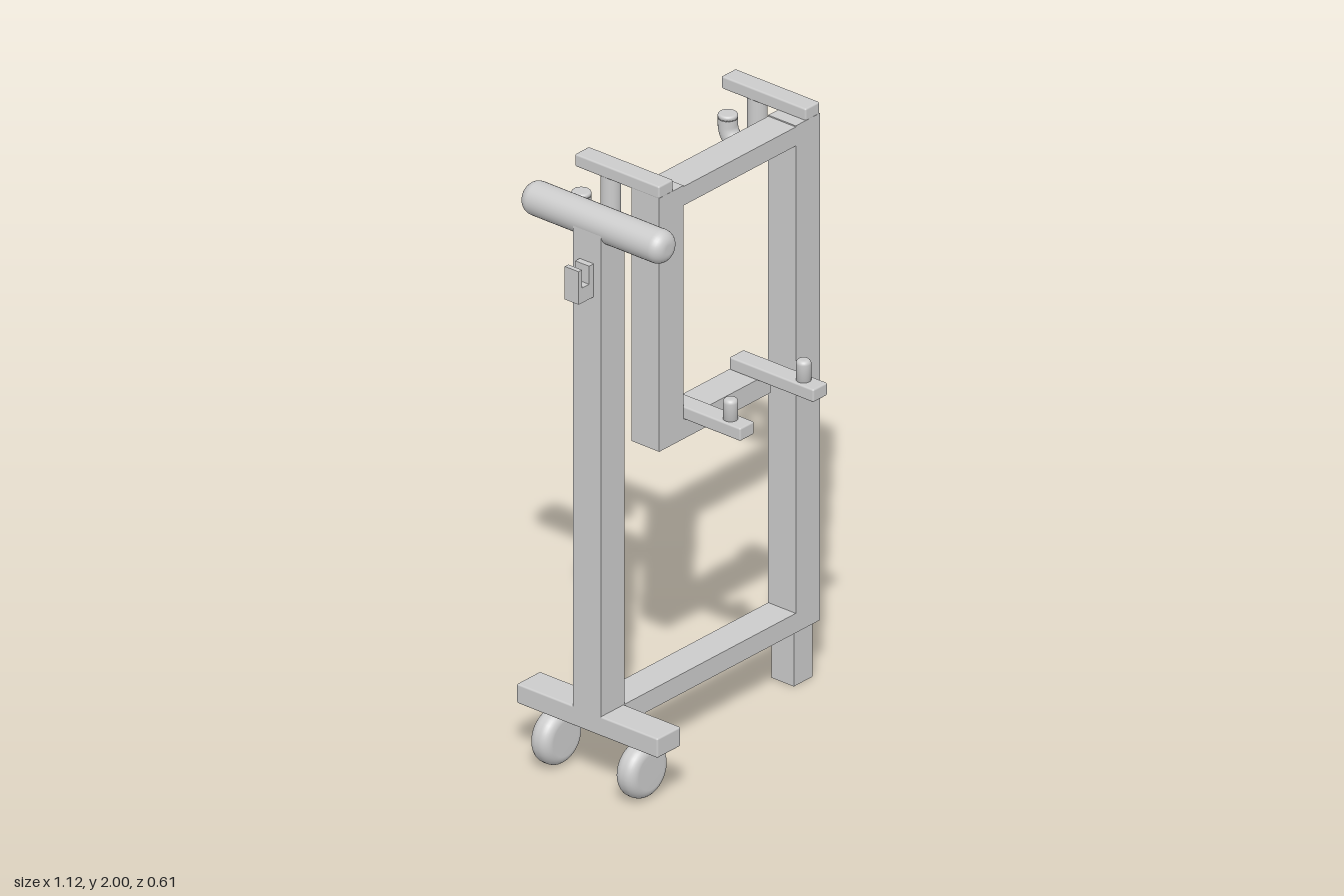
import * as THREE from 'three';
import { RoundedBoxGeometry } from 'three/addons/geometries/RoundedBoxGeometry.js';

export function createModel() {
  const model = new THREE.Group();
  const mat = new THREE.MeshStandardMaterial({ color: 0xcccccc });

  function add(name, geometry) {
    const mesh = new THREE.Mesh(geometry, mat);
    mesh.name = name;
    model.add(mesh);
    return mesh;
  }
  // Box given by its limits on each axis, optionally with softened edges
  function bar(name, [x0, x1], [y0, y1], [z0, z1], r = 0) {
    const size = [x1 - x0, y1 - y0, z1 - z0];
    const geo = r ? new RoundedBoxGeometry(...size, 2, r) : new THREE.BoxGeometry(...size);
    add(name, geo).position.set((x0 + x1) / 2, (y0 + y1) / 2, (z0 + z1) / 2);
  }
  // Solid round bar with rounded rims, from y = 0 to y = length
  function roundBar(radius, length, rim, bothEnds = true) {
    const pts = [new THREE.Vector2(0, 0)];
    const steps = 8;
    if (bothEnds) {
      for (let i = 0; i <= steps; i++) {
        const a = (i / steps) * Math.PI / 2;
        pts.push(new THREE.Vector2(radius - rim + rim * Math.sin(a), rim - rim * Math.cos(a)));
      }
    } else pts.push(new THREE.Vector2(radius, 0));
    for (let i = 0; i <= steps; i++) {
      const a = (i / steps) * Math.PI / 2;
      pts.push(new THREE.Vector2(radius - rim + rim * Math.cos(a), length - rim + rim * Math.sin(a)));
    }
    pts.push(new THREE.Vector2(0, length));
    return new THREE.LatheGeometry(pts, 32);
  }

  const depth = [-0.04, 0.073];
  const leftX = [-0.488, -0.376];
  const crossZ = [-0.273, 0.305];

  // Main frame
  bar('handlePost', leftX, [0.22, 1.95], depth);
  bar('tallPost', [0.44, 0.555], [0.19, 1.96], depth);
  bar('bottomRail', [-0.4, 0.46], [0.19, 0.258], depth);
  bar('wheelBar', leftX, [0.19, 0.258], crossZ, 0.006);
  bar('foot', [0.44, 0.53], [0, 0.2], [-0.027, 0.065]);

  // Inner hanging frame
  bar('topRail', [-0.15, 0.48], [1.89, 1.956], depth);
  bar('innerPost', [-0.21, -0.095], [1.075, 1.96], depth);
  bar('innerRail', [-0.15, 0.322], [1.075, 1.145], depth);

  // Push handle
  const handle = add('handle', roundBar(0.056, crossZ[1] - crossZ[0], 0.04));
  handle.rotation.x = Math.PI / 2;
  handle.position.set(-0.433, 1.945, crossZ[0]);

  // Wheels
  for (const z of [0.193, -0.157]) {
    const wheel = add('wheel', roundBar(0.094, 0.08, 0.034));
    wheel.rotation.x = Math.PI / 2;
    wheel.position.set(-0.433, 0.096, z - 0.04);
  }

  // Notched bracket on the outside of the handle post
  const notch = new THREE.Shape([
    [-0.56, 1.715], [-0.486, 1.715], [-0.486, 1.83], [-0.51, 1.83],
    [-0.51, 1.767], [-0.543, 1.767], [-0.543, 1.83], [-0.56, 1.83],
  ].map(([x, y]) => new THREE.Vector2(x, y)));
  add('notchedBracket', new THREE.ExtrudeGeometry(notch, { depth: 0.057, bevelEnabled: false }))
    .position.z = -0.013;

  // Top arms with J hooks at the back
  const hookR = 0.06, hookZ = -0.215, hookY = 1.819, tube = 0.032;
  for (const x of [-0.177, 0.521]) {
    bar('hookArm', [x - 0.034, x + 0.034], [1.956, 2], [-0.273, 0.073], 0.006);
    const path = new THREE.CurvePath();
    const bend = [];
    for (let i = 0; i <= 16; i++) {
      const a = (i / 16) * Math.PI;
      bend.push(new THREE.Vector3(0, hookY - hookR * Math.sin(a), hookZ + hookR * Math.cos(a)));
    }
    const tip = new THREE.Vector3(0, 1.85, hookZ - hookR);
    path.add(new THREE.LineCurve3(new THREE.Vector3(0, 1.97, hookZ + hookR), bend[0]));
    path.add(new THREE.CatmullRomCurve3(bend));
    path.add(new THREE.LineCurve3(bend[16], tip));
    add('hook', new THREE.TubeGeometry(path, 48, tube, 20)).position.x = x;
    // Closed tip with a slightly rounded rim
    add('hookTip', roundBar(tube, 0.016, 0.008, false)).position.set(x, 1.842, tip.z);
  }

  // Support arms with pegs on the inner rail
  for (const x of [-0.06, 0.288]) {
    bar('supportArm', [x - 0.034, x + 0.034], [1.143, 1.188], [-0.04, 0.305], 0.006);
    add('peg', roundBar(0.024, 0.078, 0.014, false)).position.set(x, 1.182, 0.236);
  }

  return model;
}
